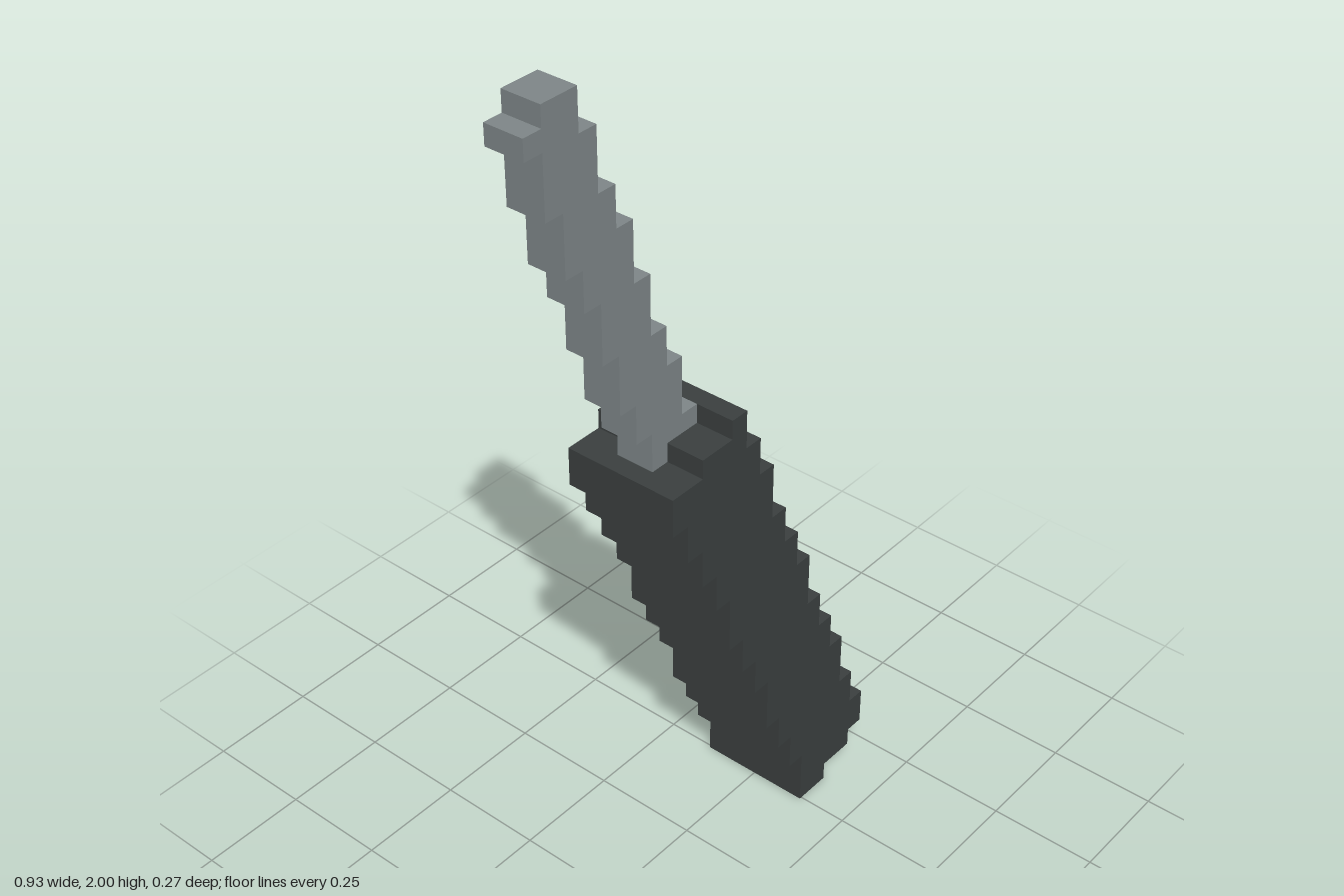
import * as THREE from 'three';

const V = 2 / 45; // edge length of one voxel
const X0 = -10.5; // left border of the 21-column grid, in voxels

const handleMaterial = new THREE.MeshStandardMaterial({ color: 0x3b4040 });
handleMaterial.name = 'dark grip';
const bladeMaterial = new THREE.MeshStandardMaterial({ color: 0x7f8789 });
bladeMaterial.name = 'grey steel';

// Stepped slab: each column is [bottom, top] in voxels, extruded evenly about z = 0
function steppedSlab(name, firstColumn, columns, depth, material) {
  const points = [];
  const add = (col, row) => {
    const p = new THREE.Vector2((X0 + col) * V, row * V);
    const last = points[points.length - 1];
    if (!last || last.distanceTo(p) > 1e-6) points.push(p);
  };
  // lower edge left to right, then upper edge back
  columns.forEach(([bottom], i) => {
    add(firstColumn + i, bottom);
    add(firstColumn + i + 1, bottom);
  });
  for (let i = columns.length - 1; i >= 0; i--) {
    add(firstColumn + i + 1, columns[i][1]);
    add(firstColumn + i, columns[i][1]);
  }
  const geometry = new THREE.ExtrudeGeometry(new THREE.Shape(points), {
    depth: depth * V, bevelEnabled: false,
  });
  geometry.translate(0, 0, -depth * V / 2);
  const mesh = new THREE.Mesh(geometry, material);
  mesh.name = name;
  return mesh;
}

export function createModel() {
  const model = new THREE.Group();
  model.name = 'slantedTool';

  // Thick dark handle, leaning to the left
  model.add(steppedSlab('handle', 6, [
    [23, 25], [21, 25], [19, 26], [17, 26], [14, 27], [12, 25], [10, 23], [7, 20],
    [5, 18], [3, 16], [0, 13], [0, 11], [1, 9], [1, 6], [2, 4],
  ], 6, handleMaterial));

  // Slim grey blade rising from the handle
  model.add(steppedSlab('blade', 0, [
    [43, 44], [40, 45], [37, 45], [35, 43], [32, 40], [29, 38], [27, 35],
    [25, 32], [26, 30], [26, 27],
  ], 2, bladeMaterial));

  return model;
}
